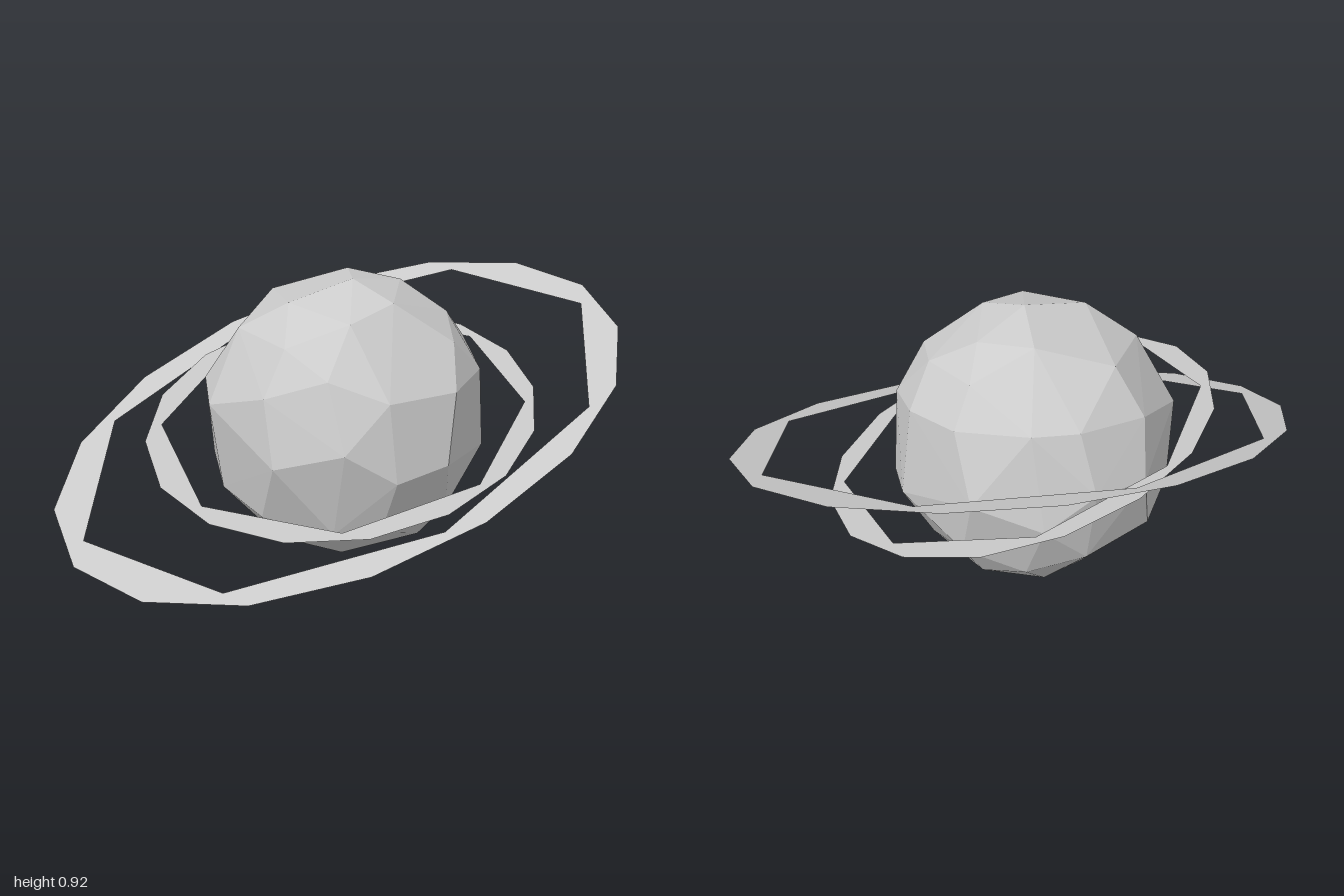
import * as THREE from 'three';
import { ConvexGeometry } from 'three/addons/geometries/ConvexGeometry.js';

const DEG = Math.PI / 180;

// Corner directions for one half of the faceted globe; the other half is antipodal
const HALF = [
  [0.97, 0.05, -0.42], [0.97, -0.2, 0.31], [0.88, -0.4, -0.26], [0.75, -0.25, 0.62],
  [0.66, -0.68, 0.32], [0.68, -0.69, -0.23], [0.62, -0.1, -0.78], [0.6, -0.55, -0.58],
  [0, 0.99, 0.09], [0.07, 0.89, 0.43], [0.4, 0.62, 0.68], [0.23, 0.37, 0.9],
  [0.09, -0.09, 0.99], [0.2, -0.48, 0.86], [0.16, -0.78, 0.62], [-0.25, -0.93, 0.28],
  [0.66, 0.74, -0.11], [0.85, 0.5, -0.17], [0.85, 0.44, 0.28], [0.67, 0.35, 0.65],
  [0.58, 0.55, -0.61], [0.44, 0.9, 0.07], [0.45, -0.89, 0.03], [0.31, 0.54, -0.78],
  [0.31, 0.13, -0.94], [0.31, -0.41, -0.86], [0.31, -0.84, -0.45], [0.62, 0.7, 0.35],
];

function makeGlobe(material) {
  const points = [];
  for (const [x, y, z] of HALF) {
    const p = new THREE.Vector3(x, y, z).setLength(0.462);
    points.push(p, p.clone().negate());
  }
  const globe = new THREE.Mesh(new ConvexGeometry(points), material);
  globe.position.set(0.005, 0.461, -0.032);
  globe.name = 'planet';
  return globe;
}

// Regular polygon corners as 2D points
function polygon(sides, radius, startDeg) {
  return Array.from({ length: sides }, (_, i) => {
    const t = startDeg * DEG + (i / sides) * Math.PI * 2;
    return new THREE.Vector2(radius * Math.cos(t), radius * Math.sin(t));
  });
}

// Thin ring: 16-sided outside, 8-sided hole, sheared into a tilted oval
function makeRing(name, material, o) {
  const shape = new THREE.Shape(polygon(16, o.outer, o.outerStart));
  shape.holes.push(new THREE.Path(polygon(8, o.inner, o.innerStart)));
  const geometry = new THREE.ShapeGeometry(shape);
  const pos = geometry.attributes.position;
  for (let i = 0; i < pos.count; i++) {
    const x = pos.getX(i);
    const z = o.depth * pos.getY(i) + o.skew * x;
    pos.setXYZ(i, x, o.slopeX * x + o.slopeZ * z, z);
  }
  // Turn the faces upward
  const index = geometry.index;
  for (let i = 0; i < index.count; i += 3) {
    const a = index.getX(i);
    index.setX(i, index.getX(i + 1));
    index.setX(i + 1, a);
  }
  geometry.computeVertexNormals();
  const ring = new THREE.Mesh(geometry, material);
  ring.position.set(...o.center);
  ring.name = name;
  return ring;
}

export function createModel() {
  const group = new THREE.Group();
  group.name = 'ringedPlanet';
  const solid = new THREE.MeshStandardMaterial({ color: 0xcccccc, flatShading: true });
  const thin = new THREE.MeshStandardMaterial({
    color: 0xcccccc, flatShading: true, side: THREE.DoubleSide,
  });

  group.add(makeGlobe(solid));
  group.add(makeRing('outerRing', thin, {
    outer: 1, outerStart: 0, inner: 0.93, innerStart: 7,
    depth: 0.65, skew: 0.055, slopeX: 0.25, slopeZ: -0.2, center: [0, 0.46, 0],
  }));
  group.add(makeRing('innerRing', thin, {
    outer: 0.765, outerStart: 7, inner: 0.713, innerStart: -8,
    depth: 0.753, skew: -0.17, slopeX: 0.004, slopeZ: -0.178, center: [0.008, 0.459, -0.01],
  }));
  return group;
}
